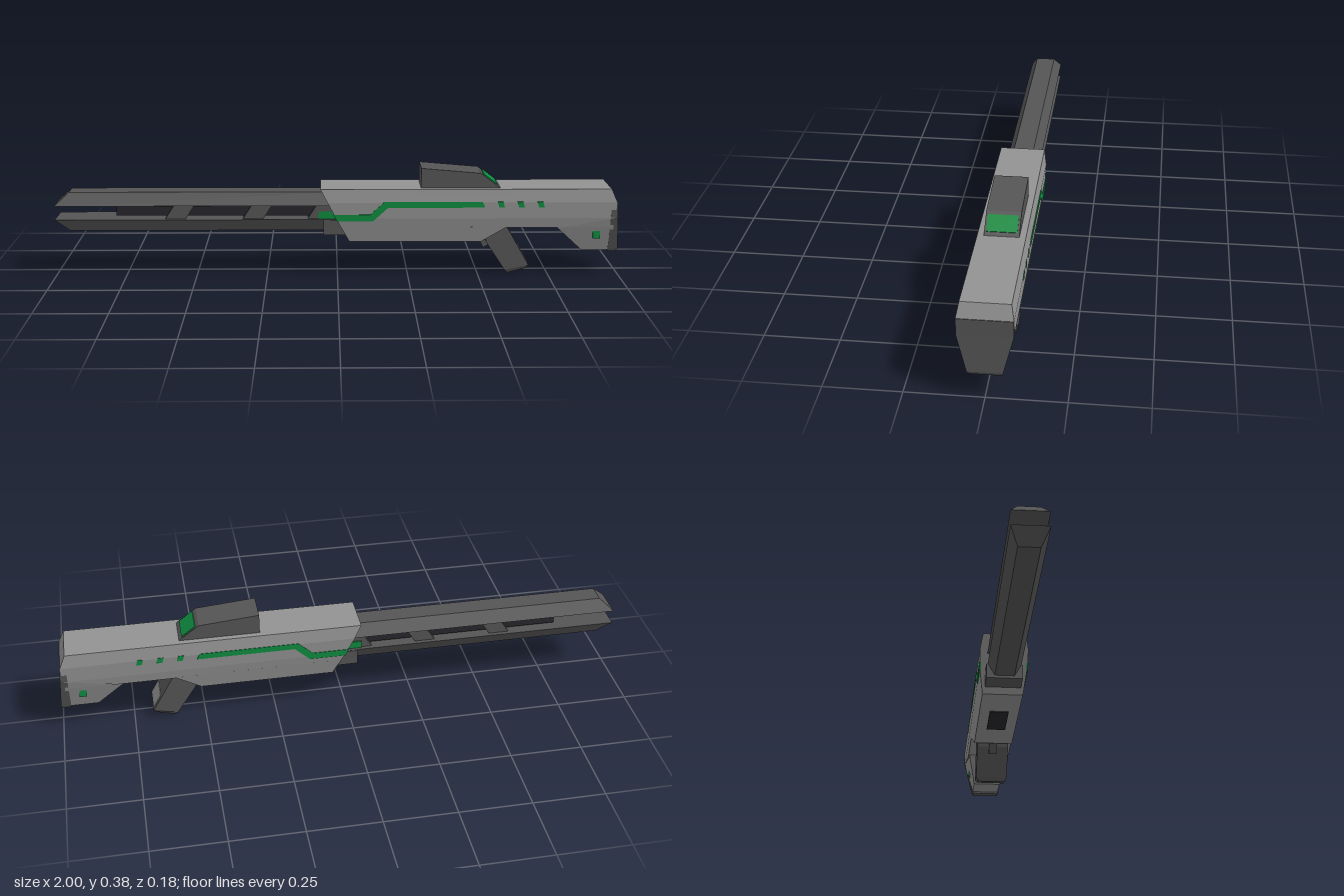
import * as THREE from 'three';

const mat = (name, color) => {
  const m = new THREE.MeshStandardMaterial({ color });
  m.name = name;
  return m;
};

// Stacks four-cornered sections [xBack, yBack, xFront, yFront, halfWidth] from bottom to top, with flat faces
function loft(levels) {
  const pos = [];
  const rings = levels.map(([xa, ya, xb, yb, w]) => [[xa, ya, w], [xb, yb, w], [xb, yb, -w], [xa, ya, -w]]);
  const quad = (a, b, c, d) => pos.push(...a, ...b, ...c, ...a, ...c, ...d);
  for (let i = 0; i < rings.length - 1; i++) {
    for (let k = 0; k < 4; k++) {
      const n = (k + 1) % 4;
      quad(rings[i][k], rings[i][n], rings[i + 1][n], rings[i + 1][k]);
    }
  }
  const bottom = rings[0], top = rings[rings.length - 1];
  quad(bottom[3], bottom[2], bottom[1], bottom[0]);
  quad(...top);
  const g = new THREE.BufferGeometry();
  g.setAttribute('position', new THREE.Float32BufferAttribute(pos, 3));
  g.computeVertexNormals();
  return g;
}

// Section of constant height: y, x range, half width
const flat = (y, x0, x1, w) => [x0, y, x1, y, w];

export function createModel() {
  const group = new THREE.Group();
  const shell = mat('light grey shell', 0x929292);
  const dark = mat('dark grey metal', 0x555555);
  const black = mat('black core', 0x26262c);
  const green = mat('green glow', 0x0f8c40);

  const add = (name, geometry, material) => {
    const mesh = new THREE.Mesh(geometry, material);
    mesh.name = name;
    group.add(mesh);
    return mesh;
  };
  const box = (name, material, x, y, sx, sy, sz, turn = 0) => {
    const mesh = add(name, new THREE.BoxGeometry(sx, sy, sz), material);
    mesh.position.set(x, y, 0);
    mesh.rotation.z = turn;
  };

  // Body shell
  add('upperBody', loft([
    flat(0.175, 0.013, 0.8, 0.081), flat(0.21, -0.005, 0.98, 0.086),
    flat(0.267, -0.035, 0.985, 0.087), flat(0.313, -0.06, 0.965, 0.078),
  ]), shell);
  add('lowerBody', loft([flat(0.122, 0.042, 0.51, 0.073), flat(0.178, 0.012, 0.6, 0.0815)]), shell);
  add('stock', loft([
    flat(0.085, 0.87, 0.98, 0.052), flat(0.175, 0.775, 0.977, 0.077), flat(0.215, 0.74, 0.976, 0.086),
  ]), shell);
  add('buttPad', loft([
    flat(0.078, 0.965, 0.993, 0.05), flat(0.09, 0.965, 1.0, 0.055),
    flat(0.213, 0.965, 0.99, 0.0865), flat(0.266, 0.965, 0.987, 0.0865),
  ]), dark);

  // Split barrel: two chamfered rails around a core
  add('upperRail', loft([flat(0.25, -1, 0.05, 0.06), flat(0.295, -0.95, 0.05, 0.035)]), dark);
  add('lowerRail', loft([flat(0.155, -0.95, 0.05, 0.035), flat(0.2, -1, 0.05, 0.06)]), dark);
  box('barrelCore', black, -0.39, 0.225, 0.79, 0.034, 0.06);
  for (const x of [-0.61, -0.335, -0.105]) {
    add('railSpacer', loft([flat(0.2, x, x + 0.072, 0.045), flat(0.25, x + 0.032, x + 0.104, 0.045)]), dark);
  }
  box('barrelCollar', dark, 0.03, 0.172, 0.16, 0.054, 0.13);
  box('coreGlow', green, -0.03, 0.213, 0.075, 0.026, 0.1);
  box('undersideVent', black, 0.28, 0.122, 0.17, 0.006, 0.07);

  // Grip with rear panel, and trigger
  add('grip', loft([
    [0.61, 0, 0.67, 0.016, 0.052], [0.598, 0.012, 0.683, 0.03, 0.06],
    [0.53, 0.115, 0.615, 0.15, 0.06], [0.51, 0.19, 0.59, 0.19, 0.06],
  ]), dark);
  box('gripPanel', shell, 0.667, 0.057, 0.004, 0.055, 0.09, 0.516);
  box('trigger', dark, 0.528, 0.108, 0.03, 0.04, 0.03, 0.5);

  // Sight with sloped rear screen
  add('sight', loft([flat(0.31, 0.295, 0.579, 0.057), [0.295, 0.384, 0.505, 0.366, 0.057]]), dark);
  box('sightScreen', green, 0.54, 0.34, 0.006, 0.06, 0.1, 0.914);

  // Green side markings, mirrored on both sides
  const plate = (name, points, z) => {
    const shape = new THREE.Shape(points.map(([x, y]) => new THREE.Vector2(x, y)));
    const geometry = new THREE.ExtrudeGeometry(shape, { depth: 0.006, bevelEnabled: false });
    for (const s of [1, -1]) {
      add(name, geometry, green).position.z = s > 0 ? z - 0.006 : -z;
    }
  };
  plate('sideStripe', [
    [-0.002, 0.2], [0.125, 0.2], [0.178, 0.249], [0.52, 0.249],
    [0.51, 0.27], [0.165, 0.27], [0.115, 0.224], [-0.014, 0.224],
  ], 0.0882);
  for (const x of [0.565, 0.635, 0.705]) {
    plate('sideLight', [[x + 0.004, 0.25], [x + 0.024, 0.25], [x + 0.018, 0.27], [x - 0.002, 0.27]], 0.0882);
  }
  plate('stockLight', [[0.907, 0.132], [0.932, 0.132], [0.93, 0.16], [0.905, 0.16]], 0.0725);

  return group;
}
